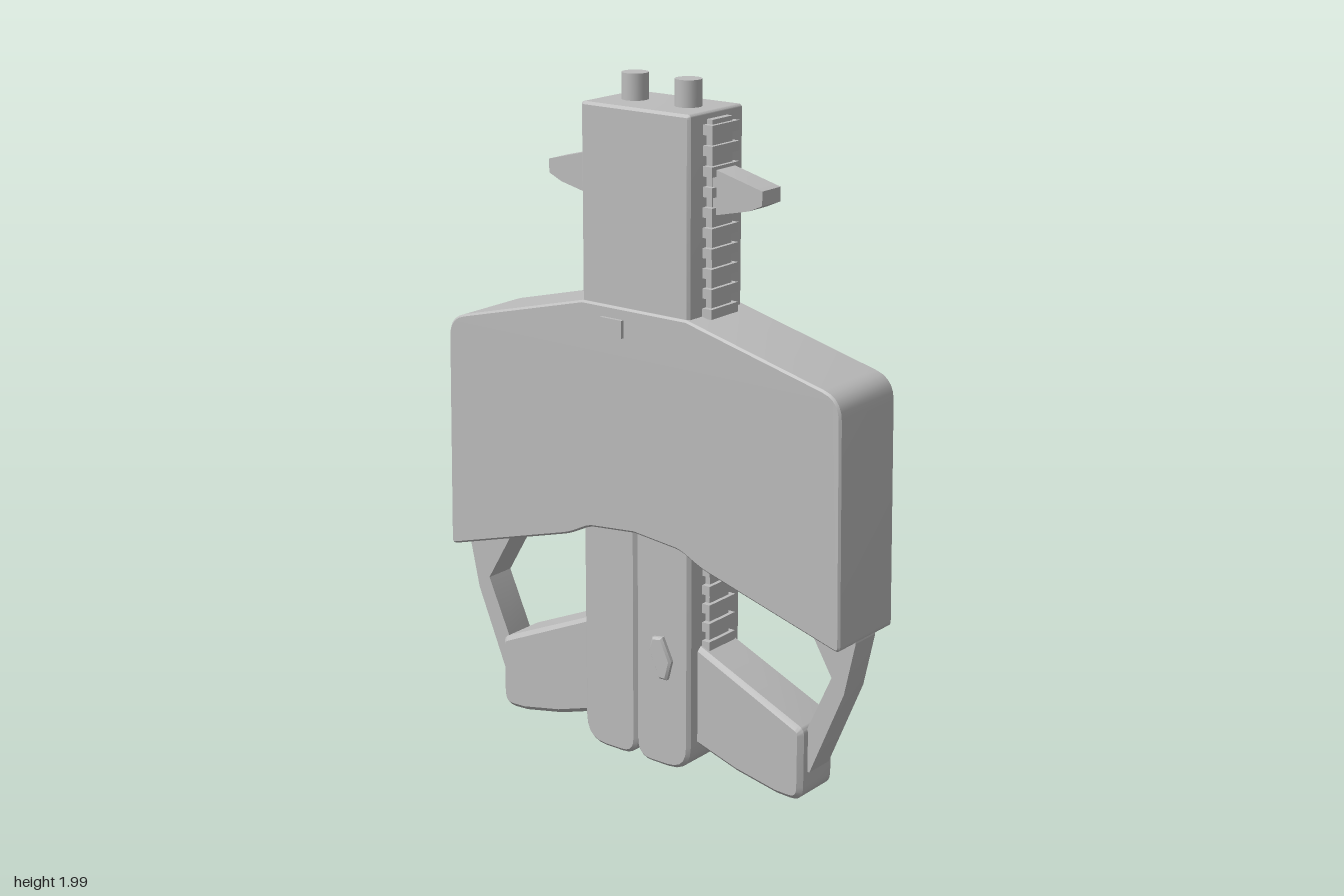
import * as THREE from 'three';
import { toCreasedNormals } from 'three/addons/utils/BufferGeometryUtils.js';

const grey = new THREE.MeshStandardMaterial({ color: 0xbcbcbc });
grey.name = 'grey';

// Outline from [z, y, cornerRadius] points
function outline(points) {
  const shape = new THREE.Shape();
  const n = points.length;
  points.forEach(([z, y, r = 0], i) => {
    const p = new THREE.Vector2(z, y);
    const toward = ([a, b]) => new THREE.Vector2(a, b).sub(p).setLength(r).add(p);
    const start = r ? toward(points[(i + n - 1) % n]) : p;
    if (i === 0) shape.moveTo(start.x, start.y);
    else shape.lineTo(start.x, start.y);
    if (r) {
      const end = toward(points[(i + 1) % n]);
      shape.quadraticCurveTo(z, y, end.x, end.y);
    }
  });
  shape.closePath();
  return shape;
}

// Side profile extruded across x, centred, with small bevelled edges
function slab(name, points, halfWidth, bevel = 0) {
  const geo = new THREE.ExtrudeGeometry(outline(points), {
    depth: 2 * (halfWidth - bevel), curveSegments: 5,
    bevelEnabled: bevel > 0, bevelThickness: bevel, bevelSize: bevel,
    bevelOffset: -bevel, bevelSegments: 1,
  });
  geo.translate(0, 0, -(halfWidth - bevel));
  geo.rotateY(-Math.PI / 2);
  const mesh = new THREE.Mesh(toCreasedNormals(geo, 0.5), grey);
  mesh.name = name;
  return mesh;
}

function box(name, w, h, d, x, y, z) {
  const mesh = new THREE.Mesh(new THREE.BoxGeometry(w, h, d), grey);
  mesh.name = name;
  mesh.position.set(x, y, z);
  return mesh;
}

// Everything that occurs once on each end
function createHalf(name) {
  const half = new THREE.Group();
  half.name = name;

  // Muzzle peg
  const peg = new THREE.Mesh(new THREE.CylinderGeometry(0.038, 0.038, 0.12, 24), grey);
  peg.name = 'muzzlePeg';
  peg.position.set(0, 1.94, 0.093);
  half.add(peg);

  // Ribbed rails above and below the body
  const rail = (y0, y1) => {
    half.add(box('railBase', 0.09, y1 - y0, 0.03, 0, (y0 + y1) / 2, 0.195));
    for (let y = y1 - 0.027; y > y0 + 0.01; y -= 0.0565) {
      half.add(box('railRib', 0.122, 0.028, 0.035, 0, y, 0.204));
    }
  };
  rail(1.34, 1.905);
  rail(0.32, 0.70);

  // Sight fin
  half.add(slab('sightFin', [
    [0.19, 1.77], [0.22, 1.77], [0.375, 1.73], [0.375, 1.69], [0.33, 1.67], [0.22, 1.645], [0.19, 1.645],
  ], 0.042));

  // Lower column with rounded foot
  half.add(slab('lowerColumn', [
    [0, 0.74], [0, 0.008, 0.055], [0.195, 0.008, 0.08], [0.195, 0.74],
  ], 0.121, 0.01));

  // Angled handle
  half.add(slab('handle', [
    [0.17, 0.40], [0.17, 0.09], [0.33, 0.04], [0.47, 0.012], [0.56, 0.008, 0.045],
    [0.56, 0.23, 0.02],
  ], 0.081, 0.014));

  // Bent strut joining handle and body
  half.add(slab('strut', [
    [0.54, 0.56], [0.635, 0.40], [0.55, 0.21], [0.55, 0.095], [0.567, 0.095],
    [0.677, 0.36], [0.712, 0.52], [0.70, 0.56],
  ], 0.048));

  // Hexagonal catch on one side
  const catchMesh = slab('hexCatch', [
    [-0.058, 0.365], [-0.070, 0.407], [-0.105, 0.413], [-0.138, 0.345], [-0.122, 0.285], [-0.095, 0.285],
  ], 0.02, 0.006);
  catchMesh.position.x = 0.117;
  half.add(catchMesh);

  // Small rectangular button
  half.add(box('sideButton', 0.03, 0.052, 0.076, 0.125, 1.302, 0.071));
  return half;
}

export function createModel() {
  const model = new THREE.Group();
  model.name = 'twinDevice';

  // Wide main body, mirrored side profile
  const side = [
    [0.185, 1.362], [0.70, 1.232, 0.06], [0.713, 0.515, 0.02], [0.24, 0.652, 0.03], [0.165, 0.69, 0.02],
  ];
  const mirrored = side.map(([z, y, r]) => [-z, y, r]).reverse();
  model.add(slab('body', [...side, [0, 0.706], ...mirrored], 0.13, 0.006));

  // Upright barrel block
  model.add(slab('barrel', [
    [-0.19, 1.30], [0.19, 1.30], [0.19, 1.925, 0.012], [-0.19, 1.925, 0.012],
  ], 0.122, 0.008));

  // Front half and its half-turn twin
  const front = createHalf('frontHalf');
  const back = createHalf('backHalf');
  back.rotation.y = Math.PI;
  model.add(front, back);
  return model;
}
